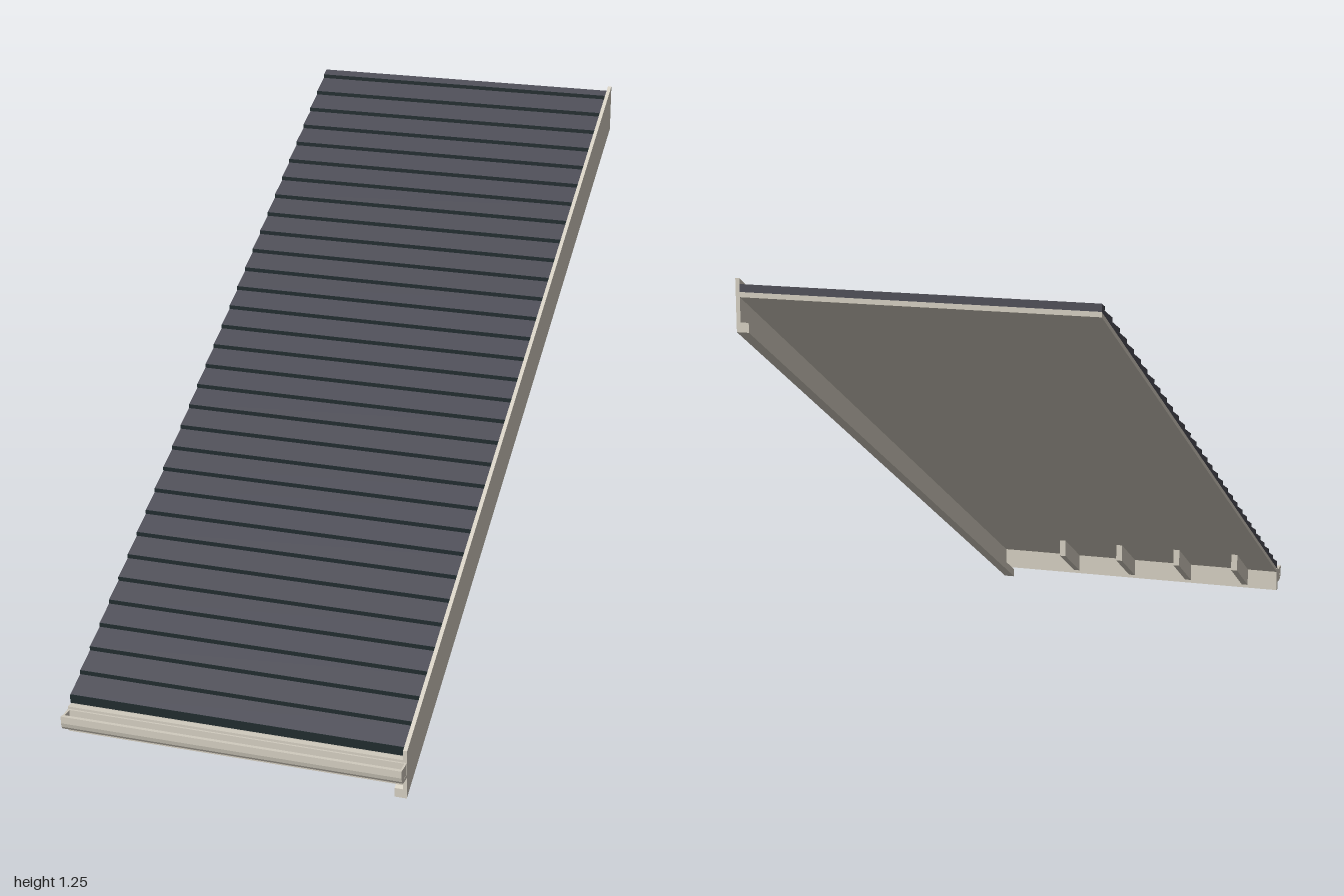
import * as THREE from 'three';

const SLOPE = Math.tan(Math.PI / 6);
const LEFT = 0.43, RIGHT = -0.433, INNER = 0.42;
const EAVE = 0.94, RIDGE = -1;

export function createModel() {
  const group = new THREE.Group();
  const paint = new THREE.MeshStandardMaterial({ color: 0xd0cabd });
  paint.name = 'warm cream';
  const slate = new THREE.MeshStandardMaterial({ color: 0x4b4b54 });
  slate.name = 'slate grey';
  const shade = new THREE.MeshStandardMaterial({ color: 0x1f2a2d });
  shade.name = 'dark slate edge';

  // Extrudes a side profile of [z, y] points from x0 to x1
  function prism(name, points, x0, x1, material) {
    const shape = new THREE.Shape(points.map(([z, y]) => new THREE.Vector2(-z, y)));
    const geometry = new THREE.ExtrudeGeometry(shape, { depth: x1 - x0, bevelEnabled: false });
    geometry.rotateY(Math.PI / 2).translate(x0, 0, 0);
    const mesh = new THREE.Mesh(geometry, material);
    mesh.name = name;
    group.add(mesh);
  }

  // Board that follows the roof pitch; y is its underside at z0
  function sloped(name, z0, z1, y, height, x0, x1, material) {
    const y1 = y + (z0 - z1) * SLOPE;
    prism(name, [[z0, y], [z0, y + height], [z1, y1 + height], [z1, y1]], x0, x1, material);
  }

  // Stepped tile courses, cut off at the ridge
  const stepY = 0.0357, stepZ = stepY / SLOPE, courses = 32;
  const profile = [[EAVE, 0.103]];
  for (let k = 0; k < courses; k++) {
    const z = EAVE - k * stepZ, y = 0.115 + k * stepY;
    if (k > 0) profile.push([z, y]);
    profile.push([z, y + 0.01]);
    // Dark butt edge of each course
    const low = k === 0 ? 0.103 : y;
    prism('tileEdge', [[z, low], [z + 0.002, low], [z + 0.002, y + 0.01], [z, y + 0.01]], RIGHT, INNER, shade);
  }
  const lastZ = EAVE - (courses - 1) * stepZ;
  const lastY = 0.125 + (courses - 1) * stepY;
  profile.push([RIDGE, lastY + (lastZ - RIDGE) * (stepY - 0.01) / stepZ]);
  profile.push([RIDGE, 0.103 + (EAVE - RIDGE) * SLOPE]);
  prism('tileCourses', profile, RIGHT, INNER, slate);

  // Roof deck under the tiles
  sloped('roofDeck', EAVE, RIDGE, 0.091, 0.012, RIGHT, INNER, paint);

  // Verge board with its inward bottom lip
  sloped('vergeBoard', 0.957, RIDGE, 0, 0.125, INNER, LEFT, paint);
  sloped('vergeLip', 0.957, RIDGE, 0, 0.023, 0.4, INNER, paint);

  // Fascia at the eave
  prism('fascia', [[0.957, 0.034], [0.957, 0.1], [0.94, 0.1], [0.94, 0.034]], RIGHT, INNER, paint);

  // Short rafter tails behind the fascia
  for (let i = 0; i < 4; i++) {
    const x = -0.345 + i * 0.176;
    sloped('rafterTail', 0.945, 0.79, 0.04, 0.05, x, x + 0.018, paint);
  }

  // Open gutter with a rounded front
  prism('gutter', [
    [0.957, 0.094], [0.957, 0.055], [0.984, 0.055], [0.992, 0.058], [0.997, 0.065], [1, 0.076],
    [1, 0.094], [0.99, 0.094], [0.99, 0.074], [0.984, 0.064], [0.962, 0.064], [0.962, 0.094],
  ], RIGHT, LEFT, paint);
  // Gutter stop ends
  for (const x of [RIGHT, LEFT - 0.006]) {
    prism('gutterEnd', [[0.961, 0.063], [0.961, 0.093], [0.991, 0.093], [0.991, 0.074], [0.985, 0.063]],
      x + 0.0005, x + 0.0055, paint);
  }
  return group;
}
